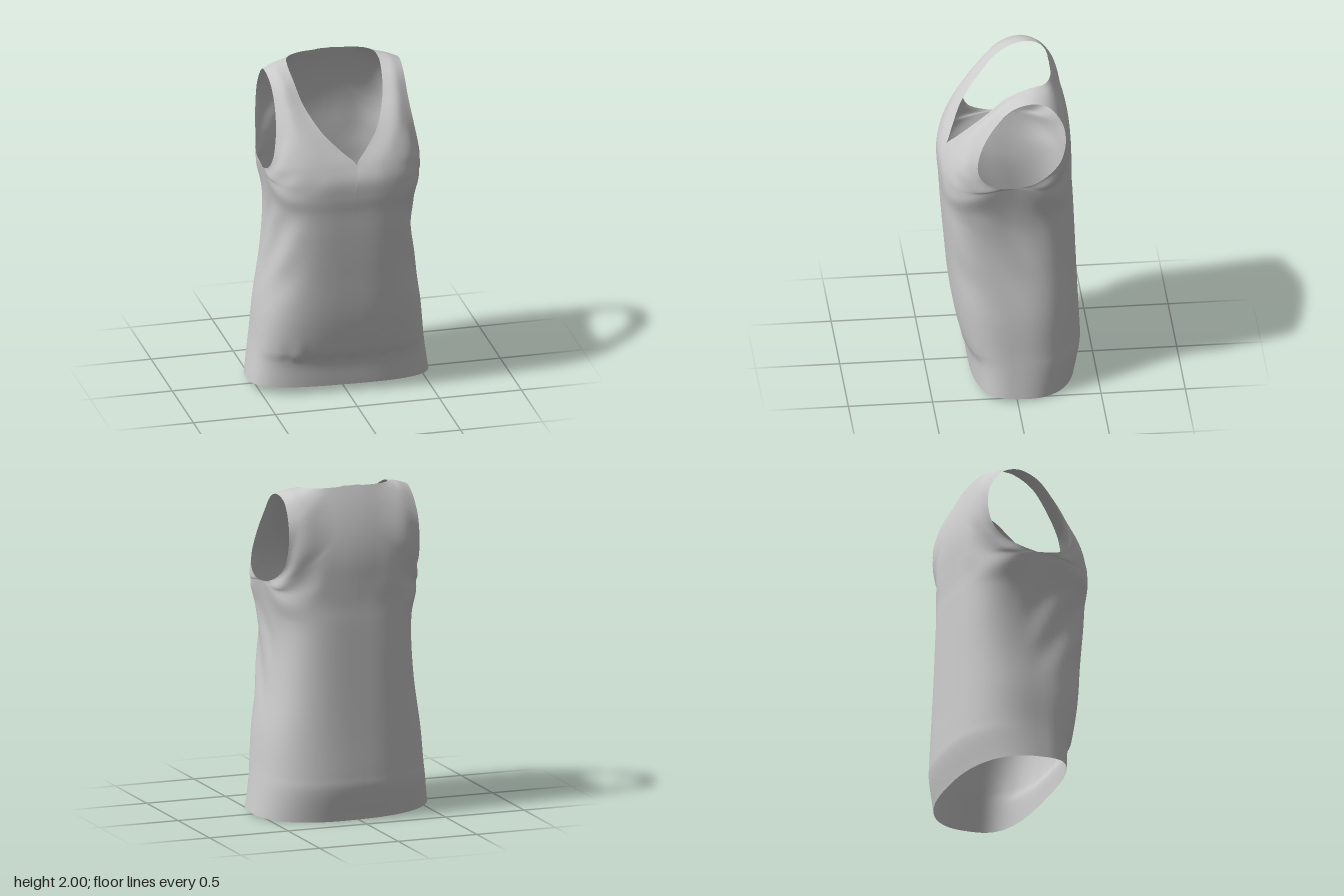
import * as THREE from 'three';
import { mergeVertices } from 'three/addons/utils/BufferGeometryUtils.js';

const SEG = 8;      // steps between control rows
const EDGE = 3;     // columns in each trim
const MID = 28;     // columns between the trims
const BAND = 0.05;  // trim width
const COLS = EDGE * 2 + MID;

// Body rings, hem to underarm: y, half width, front depth, back depth,
// front and back squareness, tilt, rise at the side
const RINGS = [
  [0.029, 0.547, 0.25, 0.382, 3, 2.45, 0.06, 0],
  [0.2, 0.521, 0.268, 0.416, 3, 2.6, 0, 0],
  [0.28, 0.51, 0.3, 0.414, 3, 2.65, 0, 0],
  [0.5, 0.486, 0.345, 0.402, 3.1, 2.8, 0, 0],
  [0.8, 0.437, 0.375, 0.388, 3.4, 3.1, 0, 0],
  [1.05, 0.417, 0.395, 0.377, 3.7, 3.3, 0, 0],
  [1.2, 0.426, 0.404, 0.37, 3.7, 3.2, 0, 0],
  [1.3, 0.462, 0.413, 0.364, 3.6, 3, 0, 0.11],
];

// Yoke rows from armhole edge to centre line or neckline, chest to shoulder
const FRONT = [
  [[0.47, 1.42, 0.1], [0.45, 1.39, 0.235], [0.365, 1.39, 0.354], [0.2, 1.4, 0.405], [0, 1.4, 0.41]],
  [[0.458, 1.46, 0.19], [0.42, 1.465, 0.29], [0.33, 1.475, 0.355], [0.18, 1.48, 0.384], [0, 1.49, 0.37]],
  [[0.442, 1.53, 0.225], [0.38, 1.55, 0.3], [0.25, 1.565, 0.34], [0.075, 1.57, 0.325]],
  [[0.42, 1.66, 0.2], [0.31, 1.67, 0.268], [0.165, 1.67, 0.263]],
  [[0.405, 1.8, 0.12], [0.33, 1.81, 0.157], [0.24, 1.81, 0.142]],
  [[0.405, 1.91, 0.02], [0.34, 1.92, 0.045], [0.268, 1.92, 0.035]],
];
// Shoulder top and down the back
const BACK = [
  [[0.41, 1.95, -0.1], [0.345, 1.972, -0.1], [0.275, 1.983, -0.1]],
  [[0.405, 1.92, -0.2], [0.33, 1.955, -0.205], [0.25, 1.99, -0.175]],
  [[0.41, 1.81, -0.28], [0.32, 1.87, -0.28], [0.22, 1.94, -0.255], [0.17, 1.993, -0.22]],
  [[0.415, 1.69, -0.3], [0.32, 1.76, -0.318], [0.17, 1.86, -0.295], [0.08, 1.995, -0.237]],
  [[0.425, 1.56, -0.27], [0.36, 1.6, -0.323], [0.18, 1.7, -0.336], [0.03, 1.9, -0.28], [0, 1.998, -0.24]],
  [[0.44, 1.48, -0.2], [0.4, 1.49, -0.28], [0.23, 1.58, -0.346], [0, 1.75, -0.332]],
  [[0.462, 1.43, -0.1], [0.435, 1.405, -0.215], [0.25, 1.44, -0.346], [0, 1.53, -0.36]],
];

const smooth = THREE.MathUtils.smoothstep;

// Quarter of a rounded-box ring, from side seam to centre line
function quarterRing([y, a, front, back, nFront, nBack, tilt, rise], isFront) {
  const n = isFront ? nFront : nBack;
  return Array.from({ length: 21 }, (_, k) => {
    const t = (k / 20) * Math.PI / 2;
    const x = k === 20 ? 0 : a * Math.cos(t) ** (2 / n);
    const z = (isFront ? front : -back) * Math.sin(t) ** (2 / n);
    return [x, y + tilt * z + rise * (1 - Math.sin(t)) ** 2, z];
  });
}

// Sample a row so that the trims keep their width
function sampleRow(points, innerBand) {
  const curve = new THREE.CatmullRomCurve3(points.map((p) => new THREE.Vector3(...p)));
  const length = curve.getLength();
  const outer = BAND / length, inner = innerBand / length;
  return Array.from({ length: COLS + 1 }, (_, j) => {
    let u;
    if (j <= EDGE) u = (outer * j) / EDGE;
    else if (j >= COLS - EDGE) u = 1 - (inner * (COLS - j)) / EDGE;
    else u = outer + ((1 - outer - inner) * (j - EDGE)) / MID;
    return curve.getPointAt(Math.min(1, u));
  });
}

// Smooth a stack of sampled rows lengthwise
function loft(rows) {
  const steps = (rows.length - 1) * SEG;
  const columns = rows[0].map((_, j) =>
    new THREE.CatmullRomCurve3(rows.map((r) => r[j])).getPoints(steps));
  return Array.from({ length: steps + 1 }, (_, i) => columns.map((c) => c[i]));
}

// Even upper back, off-centre neck point, gathers above the hem, soft side folds, sloping hem
function drape(p) {
  const { x, y, z } = p;
  const w = Math.abs(x);
  if (z < -0.1) {
    const profile = -0.362 + 0.488 * Math.max(0, y - 1.5) ** 2 + 0.3 * x * x;
    p.z += (profile - z) * (1 - smooth(w, 0.08, 0.32)) * smooth(y, 1.3, 1.5);
  }
  const off = 0.03 * Math.max(0, 1 - w / 0.3) * smooth(y, 1.2, 1.45) * smooth(z, 0, 0.25);
  const gather = smooth(y, 0.2, 0.25) * (1 - smooth(y, 0.25, 0.4)) * smooth(z, 0.1, 0.25);
  const side = smooth(w, 0.25, 0.42) * smooth(y, 0.5, 0.9) * (1 - smooth(y, 1.1, 1.3)) * smooth(z, -0.15, 0.15);
  const fold = 0.006 * side * Math.sin((y - 1.5 * z) * 16);
  p.x += off + Math.sign(x) * fold;
  p.y -= 0.018 * x * (1 - smooth(y, 0.05, 0.25));
  p.z += 0.002 * gather * (Math.sin(x * 37) + Math.sin(x * 61 + 1)) + fold * smooth(z, 0.05, 0.2);
  return p;
}

// Left half: up the front, over the shoulder and down the back
function halfGrid() {
  const body = (isFront) => RINGS.map((r) => sampleRow(quarterRing(r, isFront), 0.01));
  const front = body(true), back = body(false).reverse();
  const yoke = [
    ...FRONT.map((r, k) => sampleRow(r, k === 0 ? 0.01 : BAND)),
    ...BACK.map((r, k) => sampleRow(r, k > 4 ? 0.01 : BAND)),
  ];
  // Split at the underarm near the side seam, one flowing surface elsewhere
  const split = [...loft(front), ...loft([front.at(-1), ...yoke, back[0]]).slice(1), ...loft(back).slice(1)];
  const whole = loft([...front, ...yoke, ...back]);
  return split.map((row, i) => row.map((p, j) => p.clone().lerp(whole[i][j], smooth(j, 1, 9))));
}

export function createModel() {
  const grid = halfGrid();
  const last = grid.length - 1;
  const yokeStart = (RINGS.length - 1) * SEG, yokeEnd = last - yokeStart;
  const neckStart = yokeStart + SEG, neckEnd = yokeStart + (FRONT.length + 5) * SEG;

  // Both halves of the cloth, with each cell sorted into its part
  const positions = [], indices = [], tags = [];
  for (const sideSign of [1, -1]) {
    const base = positions.length / 3;
    for (const row of grid) for (const q of row) {
      const p = drape(new THREE.Vector3(sideSign * Math.max(0, q.x), Math.min(2, q.y), q.z));
      positions.push(p.x, p.y, p.z);
    }
    for (let i = 0; i < last; i++) for (let j = 0; j < COLS; j++) {
      const a = base + i * (COLS + 1) + j, b = a + COLS + 1;
      if (sideSign > 0) indices.push(a, b, a + 1, b, b + 1, a + 1);
      else indices.push(a, a + 1, b, b, a + 1, b + 1);
      let tag = 'body';
      if (i < SEG || i >= last - SEG) tag = 'hemBand';
      else if (i >= yokeStart && i < yokeEnd && j < EDGE) tag = sideSign > 0 ? 'leftArmholeBand' : 'rightArmholeBand';
      else if (i >= neckStart && i < neckEnd && j >= COLS - EDGE) tag = 'neckBand';
      tags.push(tag);
    }
  }
  let cloth = new THREE.BufferGeometry();
  cloth.setAttribute('position', new THREE.Float32BufferAttribute(positions, 3));
  cloth.setIndex(indices);
  cloth = mergeVertices(cloth, 1e-4);
  cloth.computeVertexNormals();

  // Parts share the cloth's points, so shading runs on across their joins
  const material = new THREE.MeshStandardMaterial({ color: 0xcccccc, side: THREE.DoubleSide });
  const group = new THREE.Group();
  group.name = 'sleevelessTop';
  const index = Array.from(cloth.index.array);
  for (const name of ['body', 'hemBand', 'neckBand', 'leftArmholeBand', 'rightArmholeBand']) {
    const part = cloth.clone();
    part.setIndex(index.filter((_, k) => tags[Math.floor(k / 6)] === name));
    const mesh = new THREE.Mesh(part, material);
    mesh.name = name;
    group.add(mesh);
  }
  return group;
}
